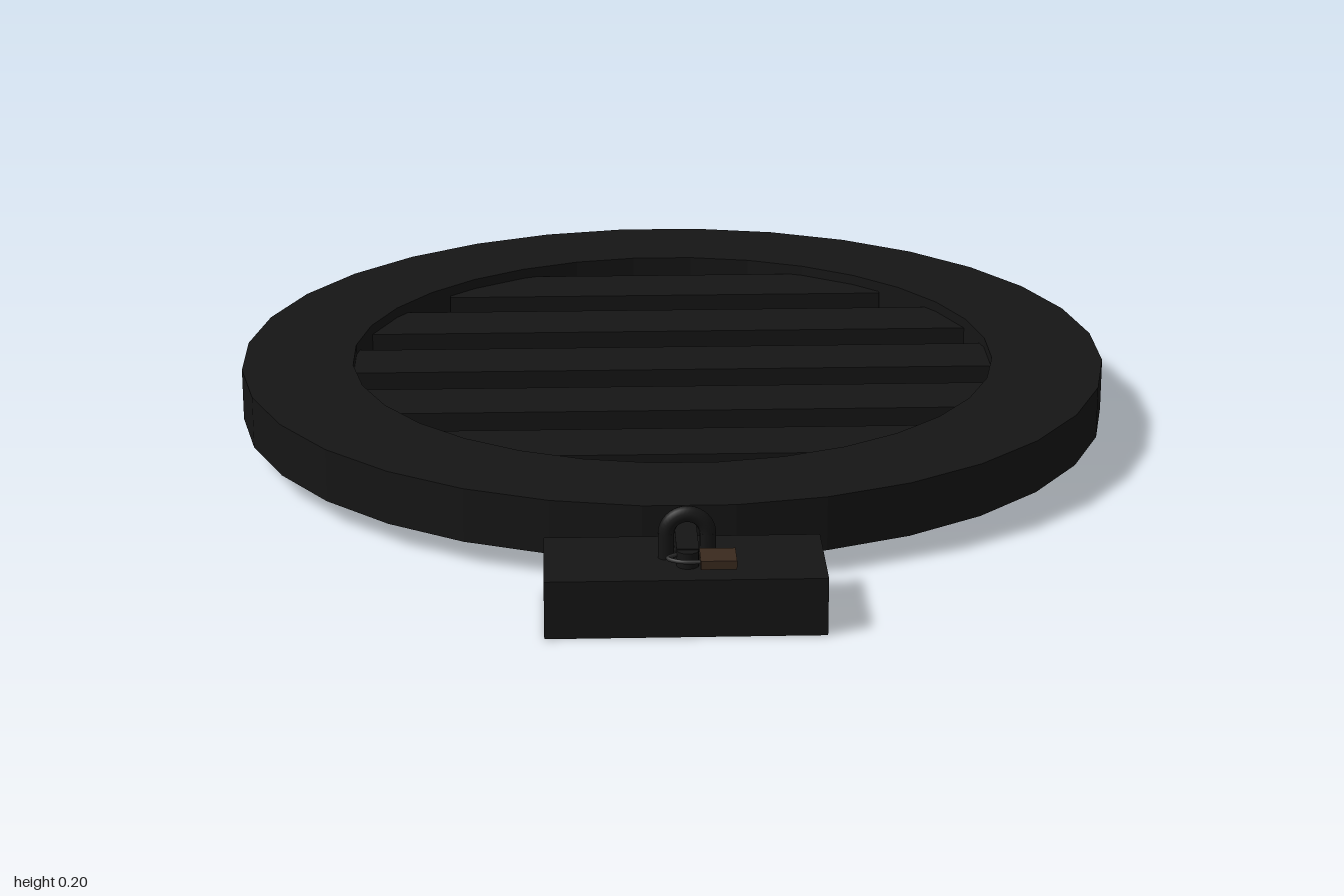
import * as THREE from 'three';

const black = new THREE.MeshStandardMaterial({ color: 0x151515, side: THREE.DoubleSide });
const steel = new THREE.MeshStandardMaterial({ color: 0x2a2a2a });
const brown = new THREE.MeshStandardMaterial({ color: 0x3a2a1e });

const SIDES = 32;
const RING_Z = -0.127;

export function createModel() {
  const model = new THREE.Group();

  const add = (name, geometry, material, x, y, z) => {
    const mesh = new THREE.Mesh(geometry, material);
    mesh.name = name;
    mesh.position.set(x, y, z);
    model.add(mesh);
    return mesh;
  };

  // 32-sided polygon with flats facing the axes
  const polygon = (radius) => Array.from({ length: SIDES }, (_, i) => {
    const a = ((i + 0.5) / SIDES) * Math.PI * 2;
    return new THREE.Vector2(Math.cos(a) * radius, Math.sin(a) * radius);
  });

  // Outer rim
  const rimShape = new THREE.Shape(polygon(0.877));
  rimShape.holes.push(new THREE.Path(polygon(0.653)));
  const rim = new THREE.ExtrudeGeometry(rimShape, { depth: 0.105, bevelEnabled: false });
  rim.rotateX(-Math.PI / 2);
  add('rim', rim, black, 0, 0.045, RING_Z);

  // Slats, their ends buried in the rim
  for (let i = 0; i < 5; i++) {
    const z = -0.642 + i * 0.248;
    const length = 2 * Math.sqrt(0.75 ** 2 - (Math.abs(z - RING_Z) + 0.0725) ** 2);
    add('slat' + (i + 1), new THREE.BoxGeometry(length, 0.062, 0.146), black, 0, 0.098, z);
  }

  // Hollow mounting block, open underneath (the -y face is left out)
  const block = new THREE.BoxGeometry(0.5, 0.108, 0.21);
  const index = Array.from(block.index.array);
  index.splice(18, 6);
  block.setIndex(index);
  block.clearGroups();
  add('mountingBlock', block, black, -0.015, 0.054, 0.895);

  // Hasp arm reaching from the rim over the block
  add('haspArm', new THREE.BoxGeometry(0.04, 0.034, 0.2), black, -0.01, 0.122, 0.83);
  const tip = new THREE.CylinderGeometry(0.02, 0.02, 0.03, 16);
  add('haspTip', tip, black, -0.01, 0.122, 0.93);

  // Staple: half ring on two legs
  add('stapleArch', new THREE.TorusGeometry(0.037, 0.015, 10, 20, Math.PI), black, -0.01, 0.153, 0.89);
  for (const side of [-1, 1]) {
    add('stapleLeg', new THREE.CylinderGeometry(0.015, 0.015, 0.05, 10), black, -0.01 + side * 0.037, 0.13, 0.89);
  }

  // Small padlock lying flat: body and wire shackle
  add('padlockBody', new THREE.BoxGeometry(0.064, 0.016, 0.062), brown, 0.043, 0.126, 0.946);
  const shackleCurve = new THREE.CatmullRomCurve3([
    [0.02, 0.965], [-0.025, 0.963], [-0.046, 0.945], [-0.025, 0.927], [0.02, 0.925],
  ].map(([x, z]) => new THREE.Vector3(x, 0.128, z)));
  add('padlockShackle', new THREE.TubeGeometry(shackleCurve, 24, 0.004, 8), steel, 0, 0, 0);

  return model;
}
